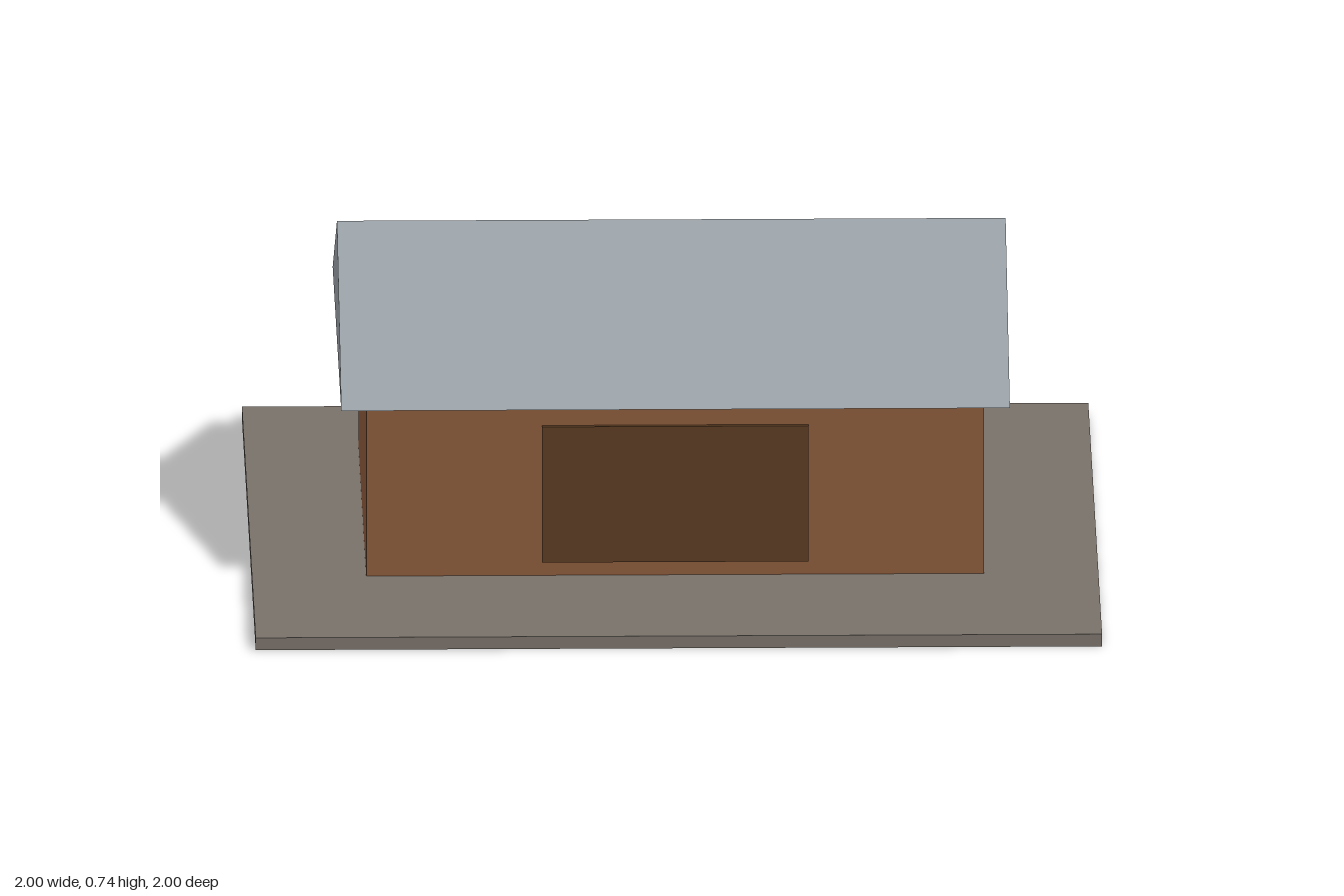
import * as THREE from 'three';

const material = (name, color) => {
  const m = new THREE.MeshStandardMaterial({ color });
  m.name = name;
  return m;
};

export function createModel() {
  const group = new THREE.Group();
  group.name = 'house';

  const paving = material('paving', 0x79716a);
  const brick = material('brick', 0x8b5a3c);
  const slate = material('slate', 0x989fa5);
  const wood = material('darkWood', 0x5a3c22);

  // Box given by its lower and upper corners
  const box = (name, mat, [x0, y0, z0], [x1, y1, z1]) => {
    const mesh = new THREE.Mesh(new THREE.BoxGeometry(x1 - x0, y1 - y0, z1 - z0), mat);
    mesh.position.set((x0 + x1) / 2, (y0 + y1) / 2, (z0 + z1) / 2);
    mesh.name = name;
    group.add(mesh);
  };

  box('groundSlab', paving, [-1, 0, -1], [1, 0.03, 1]);
  box('walls', brick, [-0.73, 0.03, -0.675], [0.73, 0.45, 0.47]);
  box('door', wood, [-0.315, 0.065, 0.465], [0.315, 0.398, 0.483]);

  // Gable roof: triangular section extruded along x
  const span = 0.623, rise = 0.29, length = 1.58;
  const section = new THREE.Shape([
    new THREE.Vector2(-span, 0),
    new THREE.Vector2(span, 0),
    new THREE.Vector2(0, rise),
  ]);
  const roofGeometry = new THREE.ExtrudeGeometry(section, { depth: length, bevelEnabled: false });
  roofGeometry.translate(0, 0, -length / 2).rotateY(Math.PI / 2);
  const roof = new THREE.Mesh(roofGeometry, slate);
  roof.position.set(0, 0.45, -0.103);
  roof.name = 'roof';
  group.add(roof);

  return group;
}
